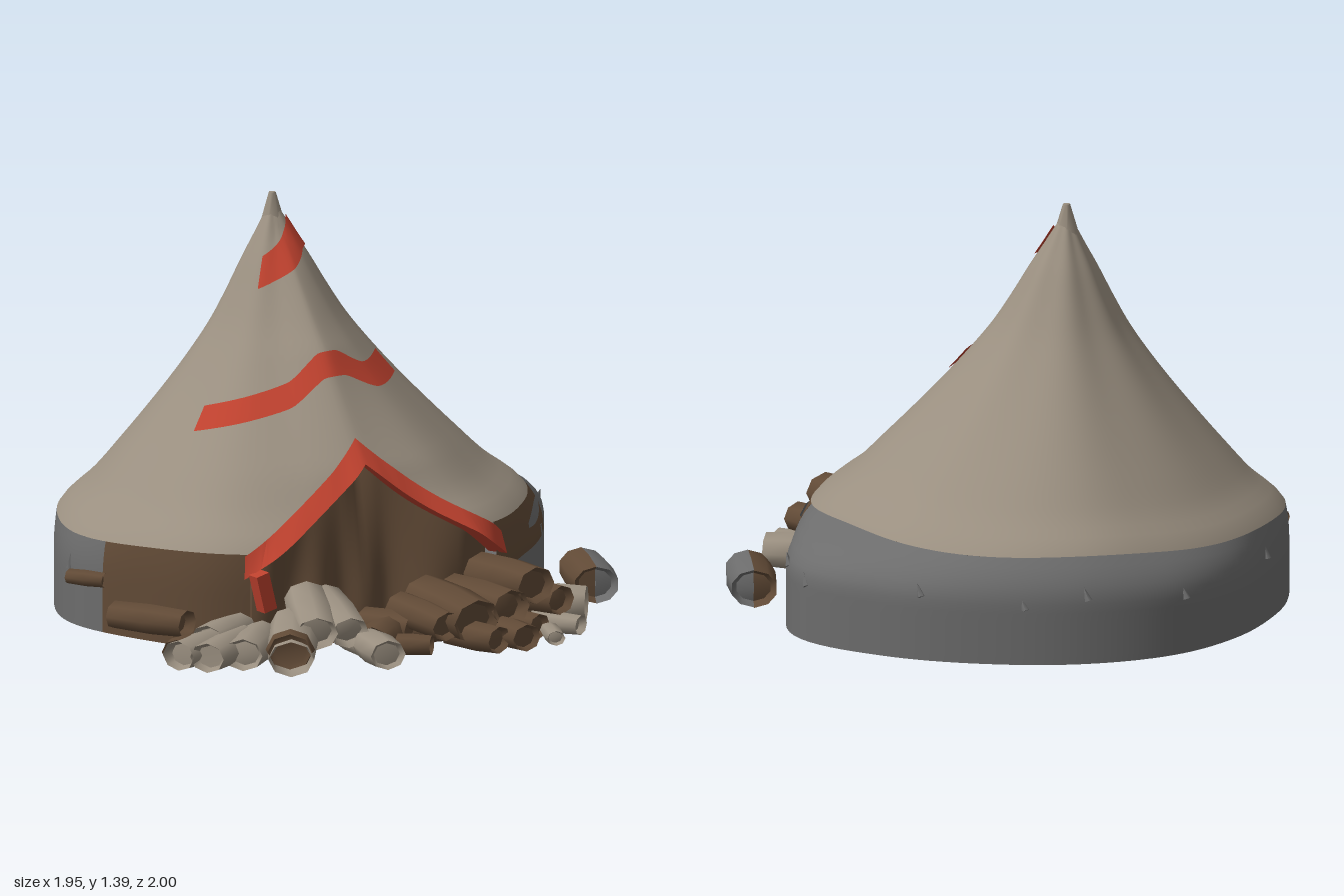
import * as THREE from 'three';
import { mergeVertices, toCreasedNormals } from 'three/addons/utils/BufferGeometryUtils.js';

const mat = (name, color) => {
  const m = new THREE.MeshStandardMaterial({ color, side: THREE.DoubleSide });
  m.name = name;
  return m;
};

// smooth interpolation through evenly spaced values
function spline(a, t, loop) {
  const n = a.length, s = loop ? t * n : THREE.MathUtils.clamp(t, 0, 1) * (n - 1);
  const i = Math.floor(s), f = s - i;
  const g = (k) => a[loop ? ((k % n) + n) % n : Math.min(n - 1, Math.max(0, k))];
  const [p, q, r, u] = [g(i - 1), g(i), g(i + 1), g(i + 2)];
  return q + 0.5 * f * (r - p + f * (2 * p - 5 * q + 4 * r - u + f * (3 * (q - r) + u - p)));
}

const AX = -0.05, AZ = -0.2, TOP = 1.37, TAU = Math.PI * 2;
// radii about the tent axis, every 22.5 degrees from the front towards +x
const WALL = [0.72, 0.87, 0.87, 0.92, 1.01, 0.94, 0.87, 0.83, 0.79, 0.735, 0.71, 0.74, 0.8, 0.81, 0.84, 0.79];
const RIM = [0.76, 0.86, 0.85, 0.85, 0.81, 0.81, 0.79, 0.75, 0.7, 0.68, 0.69, 0.73, 0.78, 0.8, 0.83, 0.79];
const SLOPE = [1, 0.85, 0.725, 0.605, 0.49, 0.383, 0.287, 0.21, 0.14, 0.065, 0];
const L = -0.66, PEAK = -0.08, R = 0.45; // doorway angles

const wallR = (a) => spline(WALL, a / TAU, true);
const rimR = (a) => spline(RIM, a / TAU, true);
const rimY = (a) => 0.335 + 0.025 * Math.sin(a) + 0.006 * Math.sin(a * 5);
const doorY = (a) => 0.59 - 0.32 * (a < PEAK ? (PEAK - a) / (PEAK - L) : (a - PEAK) / (R - PEAK));
const polar = (a, r, y) => new THREE.Vector3(AX + Math.sin(a) * r, y, AZ + Math.cos(a) * r);

// canvas radius at an angle and height, with a ridge above the doorway and soft folds
function canvasR(a, y) {
  const t = Math.max(0, (y - rimY(a)) / (TOP - rimY(a)));
  const c = (v) => THREE.MathUtils.clamp(v, 0, 1);
  const ridge = 0.11 * c((1.25 - y) / 0.35) * c((y - 0.3) / 0.25) * Math.exp(-((Math.abs(a - PEAK) / 0.42) ** 1.5));
  const fold = 0.005 * Math.cos(a * 7) * Math.sin(Math.PI * Math.min(1, t));
  return rimR(a) * spline(SLOPE, t, false) + ridge + fold;
}

// grid surface: u runs to the right, v runs up
function sheet(f, nu, nv, crease) {
  const pos = [], idx = [];
  for (let j = 0; j <= nv; j++) for (let i = 0; i <= nu; i++) pos.push(...f(i / nu, j / nv).toArray());
  for (let j = 0; j < nv; j++) for (let i = 0; i < nu; i++) {
    const a = j * (nu + 1) + i, d = a + nu + 1;
    idx.push(a, a + 1, d + 1, a, d + 1, d);
  }
  let g = new THREE.BufferGeometry();
  g.setAttribute('position', new THREE.Float32BufferAttribute(pos, 3));
  g.setIndex(idx);
  g = mergeVertices(g, 1e-4);
  g.computeVertexNormals();
  return crease ? toCreasedNormals(g, crease) : g;
}

export function createModel() {
  const root = new THREE.Group();
  root.name = 'tent';
  const canvas = mat('canvas', 0x9a8f80), red = mat('red cloth', 0xbe412e);
  const grey = mat('grey wall', 0x6c6c6c), brown = mat('brown hide', 0x614a36);
  const add = (name, geo, m, parent = root) => {
    const o = new THREE.Mesh(geo, m);
    o.name = name;
    parent.add(o);
    return o;
  };
  const mix = THREE.MathUtils.lerp;

  // canvas roof, its lower edge lifting over the doorway
  add('canvasRoof', sheet((u, v) => {
    const a = mix(-Math.PI, Math.PI, u);
    const low = a > L && a < R ? Math.max(rimY(a), doorY(a)) : rimY(a);
    const y = mix(low, TOP, v);
    return polar(a, canvasR(a, y), y);
  }, 160, 40), canvas);
  const tip = add('roofTip', new THREE.CylinderGeometry(0.012, 0.042, 0.1, 7), canvas);
  tip.position.set(AX, 1.325, AZ);

  // low wall: grey round the back, hide at the front
  const wallPoint = (a, t, out) => {
    const k = Math.max(0, (t - 0.55) / 0.45);
    return polar(a, mix(wallR(a), rimR(a), k ** 2.2) + out, t * rimY(a));
  };
  const wall = (name, a0, a1, v0, v1, m) => add(name, sheet((u, v) =>
    wallPoint(mix(a0, a1, u), mix(v0, v1, v), 0), Math.ceil((a1 - a0) * 20), 12), m);
  wall('greyWall', 1.15, TAU - 1.35, 0, 1, grey);
  wall('lowerGreyWall', R, 1.15, 0, 0.53, grey);
  wall('rightHideBand', R, 1.15, 0.53, 1, brown);
  wall('leftHideBand', -1.35, L, 0, 1, brown);
  add('greyPatch', sheet((u, v) => wallPoint(mix(0.8, 1.08, u),
    0.78 + 0.1 * u + (v - 0.5) * 0.15 * Math.sin(Math.PI * mix(0.1, 0.9, u)), 0.007), 14, 3), grey);

  // floor in two colours
  const floor = (name, a0, a1, m) => {
    const pts = [];
    for (let i = 0; i <= 48; i++) {
      const p = polar(mix(a0, a1, i / 48), wallR(mix(a0, a1, i / 48)), 0);
      pts.push(new THREE.Vector2(p.x, p.z));
    }
    add(name, new THREE.ShapeGeometry(new THREE.Shape(pts)).rotateX(Math.PI / 2), m).position.y = 0.002;
  };
  floor('backFloor', 1.42, 3.93, grey);
  floor('frontFloor', 3.93 - TAU, 1.42, brown);

  // door drape with folds fanning from its peak
  add('doorDrape', sheet((u, v) => {
    const a = mix(L, R, u), y = doorY(a) + 0.01;
    const r = mix(wallR(a) * 0.95, canvasR(a, y) - 0.035, v);
    return polar(a, r + 0.025 * Math.cos((a - PEAK) * 22) * (1 - v) * Math.min(1, v * 3 + 0.3), y * v);
  }, 48, 10), brown);

  // red trim along the doorway, standing out as a folded lip
  add('doorTrim', sheet((u, v) => {
    const a = u < 0.5 ? mix(L - 0.02, PEAK, u * 2) : mix(PEAK, R + 0.02, u * 2 - 1);
    const e = doorY(a), row = Math.round(v * 2), y = e + (row === 2 ? 0.06 : -0.015);
    return polar(a, canvasR(a, Math.max(y, e)) + [-0.03, 0.042, 0.018][row], y);
  }, 56, 2, 0.7), red);
  const tail = add('trimTail', new THREE.BoxGeometry(0.05, 0.13, 0.05), red);
  tail.position.set(-0.545, 0.205, 0.51);
  tail.rotation.z = 0.25;

  // painted stripes lying on the canvas: [angle, height] along the middle
  const stripe = (name, pts, width) => {
    const c = new THREE.CatmullRomCurve3(pts.map(([a, y]) => new THREE.Vector3(a, y, 0)), false, 'catmullrom', 0.3);
    add(name, sheet((u, v) => {
      const p = c.getPoint(u), y = p.y + (v - 0.5) * width;
      return polar(p.x, canvasR(p.x, y) + 0.008, y);
    }, 40, 4), red);
  };
  stripe('middleStripe', [[-1.15, 0.685], [-0.72, 0.735], [-0.42, 0.775], [-0.15, 0.86], [0.06, 0.862], [0.34, 0.81], [0.84, 0.815]], 0.075);
  stripe('topStripe', [[-0.85, 1.13], [-0.4, 1.165], [0, 1.2], [0.5, 1.24], [1.0, 1.25]], 0.1);

  // small pegs round the wall
  [1.05, 1.45, 1.62, 2.1, 2.5, 2.75, 3.2, 3.9, 4.7].forEach((a, i) => {
    const peg = add('wallPeg', new THREE.ConeGeometry(0.014, 0.05, 5), grey);
    peg.position.copy(polar(a, wallR(a) - 0.004, 0.21 + 0.03 * (i % 2)));
    peg.rotation.set(0.3, a, 0.2);
  });

  // broken logs with hollowed ends
  let seed = 7;
  const rnd = () => (seed = (seed * 16807) % 2147483647) / 2147483647 - 0.5;
  const profile = [[0, -0.42], [0.72, -0.4], [0.95, -0.5], [1.04, 0], [0.93, 0.5], [0.7, 0.4], [0, 0.42]];
  const logs = new THREE.Group();
  logs.name = 'logPile';
  root.add(logs);
  const log = (name, m, x, y, z, len, rad, yaw, pitch = 0, start = 0, sweep = TAU) => {
    const pts = profile.map(([r, h]) => new THREE.Vector2(r * rad, h * len * (1 + 0.1 * rnd())));
    const g = toCreasedNormals(new THREE.LatheGeometry(pts, sweep < TAU ? 5 : 8, start, sweep), 0.8);
    const o = add(name, g, m, logs);
    o.position.set(x, y, z);
    o.rotation.set(Math.PI / 2 - pitch, yaw, 0, 'YXZ');
    o.scale.set(1.1, 1, 0.9);
  };
  [
    [-0.82, 0.06, 0.57, 0.3, 0.06, -1.15], [-0.77, 0.06, 0.63, 0.3, 0.06, -1.0], [-0.67, 0.06, 0.64, 0.28, 0.065, -0.8],
    [-0.7, 0.08, 0.51, 0.22, 0.06, -1.1], [-0.57, 0.08, 0.73, 0.32, 0.075, -0.6, -0.15], [-0.45, 0.14, 0.66, 0.3, 0.07, -0.45, -0.2],
    [-0.36, 0.13, 0.68, 0.28, 0.065, -0.25, -0.2], [-0.5, 0.05, 0.6, 0.25, 0.055, -0.5], [-0.33, 0.055, 0.89, 0.2, 0.06, -0.25],
    [-0.3, 0.05, 0.7, 0.22, 0.05, -0.2], [0.54, 0.06, 0.65, 0.18, 0.07, 0.9], [0.42, 0.04, 0.82, 0.18, 0.04, 0.5],
    [0.34, 0.03, 0.92, 0.14, 0.03, -0.4],
  ].forEach((p) => log('paleLog', canvas, ...p));
  [
    [-0.23, 0.06, 0.75, 0.18, 0.06, -0.9], [-0.14, 0.07, 0.67, 0.2, 0.06, 0.4], [-0.07, 0.11, 0.76, 0.26, 0.06, 0.1, -0.1],
    [0.04, 0.12, 0.76, 0.31, 0.09, 0.05, -0.1], [0.18, 0.13, 0.74, 0.3, 0.075, 0.08], [0.29, 0.19, 0.73, 0.3, 0.075, 0.1],
    [0.39, 0.12, 0.73, 0.26, 0.06, 0.25], [0.06, 0.05, 0.88, 0.2, 0.055, 0.3], [0.18, 0.05, 0.9, 0.2, 0.055, 0.05],
    [0.28, 0.05, 0.76, 0.25, 0.05, 0.3], [-0.05, 0.05, 0.7, 0.25, 0.05, 1.2], [-0.17, 0.04, 0.83, 0.15, 0.04, 0.8],
    [0.1, 0.05, 0.62, 0.25, 0.05, 1.4], [0.44, 0.06, 0.6, 0.16, 0.05, 0.9], [-0.81, 0.09, 0.23, 0.28, 0.055, 0.45],
    [-0.87, 0.18, -0.07, 0.14, 0.03, 0.5], [-0.9, 0.06, 0.57, 0.1, 0.055, -1.0], [-0.64, 0.08, 0.825, 0.08, 0.072, -0.6],
  ].forEach((p) => log('brownLog', brown, ...p));
  const lone = [0.84, 0.06, 0.37, 0.29, 0.075, -0.4, 0];
  log('loneLogGreySide', grey, ...lone, 0, Math.PI);
  log('loneLogBrownSide', brown, ...lone, Math.PI, Math.PI);

  return root;
}
